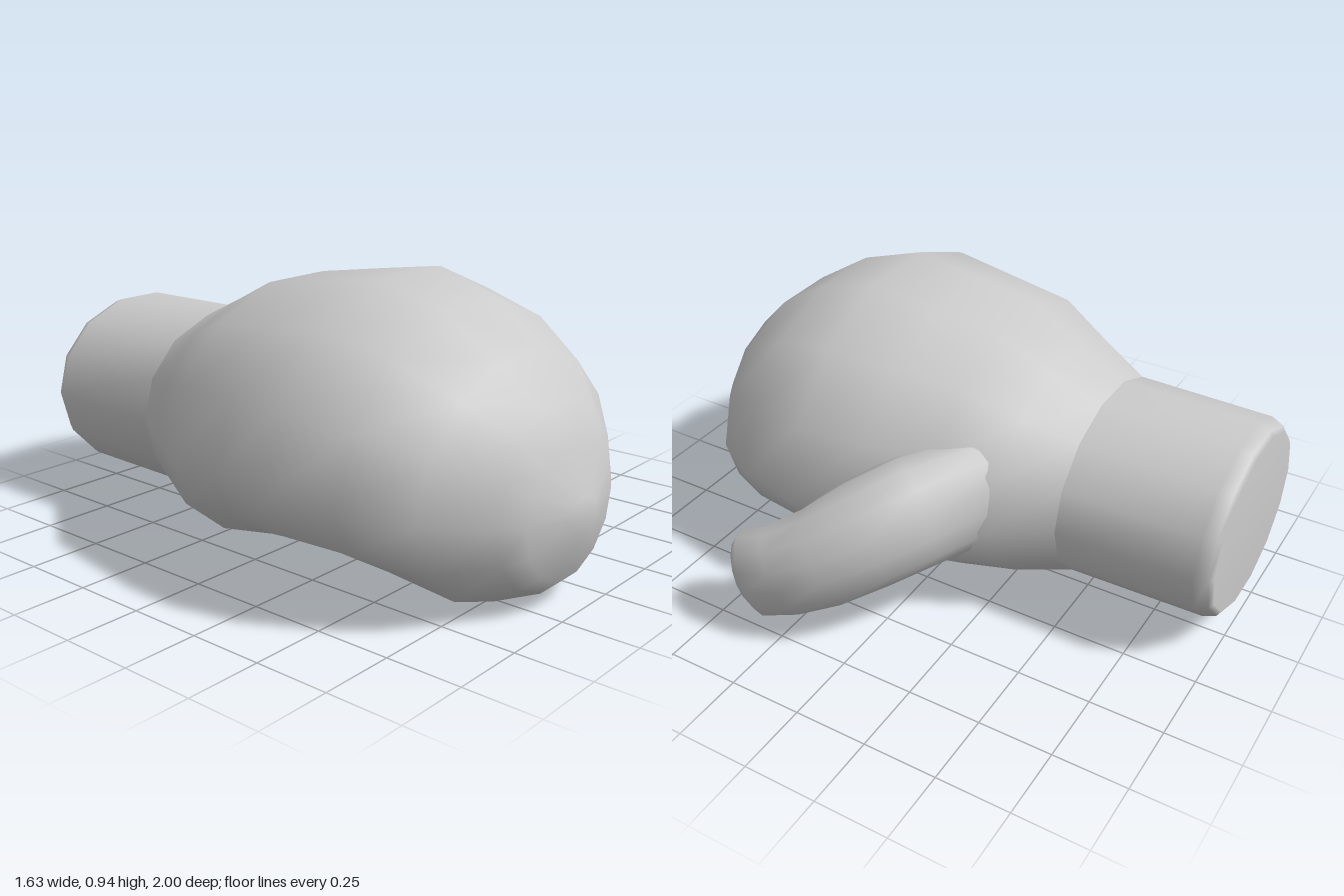
import * as THREE from 'three';

const SIDES = 14;
const material = new THREE.MeshStandardMaterial({ color: 0xcccccc });

// Skin a list of rings (ordered along the path), with optional closing centres
function loft(name, rings, startCentre, endCentre) {
  const n = SIDES, pos = [], index = [];
  rings.forEach(ring => ring.forEach(p => pos.push(p.x, p.y, p.z)));
  for (let j = 0; j < rings.length - 1; j++) {
    for (let i = 0; i < n; i++) {
      const a = j * n + i, b = j * n + (i + 1) % n;
      index.push(a, b, a + n, b, b + n, a + n);
    }
  }
  const cap = (centre, base, atEnd) => {
    const c = pos.length / 3;
    pos.push(centre.x, centre.y, centre.z);
    for (let i = 0; i < n; i++) {
      const a = base + i, b = base + (i + 1) % n;
      index.push(c, ...(atEnd ? [a, b] : [b, a]));
    }
  };
  if (startCentre) cap(startCentre, 0, false);
  if (endCentre) cap(endCentre, (rings.length - 1) * n, true);
  const geometry = new THREE.BufferGeometry();
  geometry.setAttribute('position', new THREE.Float32BufferAttribute(pos, 3));
  geometry.setIndex(index);
  geometry.computeVertexNormals();
  const mesh = new THREE.Mesh(geometry, material);
  mesh.name = name;
  return mesh;
}

// Upright oval at depth z, with its own widest height, top and bottom
function oval([z, left, right, mid, top, bottom]) {
  const flat = Math.sin(Math.PI * 3 / 7); // top and bottom edges are level
  return Array.from({ length: SIDES }, (_, i) => {
    const t = i / SIDES * Math.PI * 2, s = Math.sin(t);
    return new THREE.Vector3(
      (left + right) / 2 + (right - left) / 2 * Math.cos(t),
      mid + s / flat * (s > 0 ? top - mid : mid - bottom),
      z);
  });
}

// Oval at a point of a bent path, square to the given direction
function tiltedOval([x, y, z, w, h, dx, dy, dz]) {
  const dir = new THREE.Vector3(dx, dy, dz).normalize();
  const side = new THREE.Vector3(0, 1, 0).cross(dir).normalize();
  const up = dir.clone().cross(side);
  return Array.from({ length: SIDES }, (_, i) => {
    const t = i / SIDES * Math.PI * 2;
    return new THREE.Vector3(x, y, z)
      .addScaledVector(side, w * Math.cos(t))
      .addScaledVector(up, h * Math.sin(t));
  });
}

export function createModel() {
  const group = new THREE.Group();
  group.name = 'mitten';
  const wrist = [-0.48, -0.53, 0.245, 0.39, 0.705, 0.075];

  // Padded hand: z, left, right, widest height, top, bottom
  const hand = [
    wrist,
    [-0.3, -0.635, 0.36, 0.39, 0.79, 0.045],
    [-0.12, -0.74, 0.43, 0.39, 0.875, 0.018],
    [0.12, -0.78, 0.49, 0.39, 0.91, 0.08],
    [0.35, -0.82, 0.53, 0.38, 0.943, 0.12],
    [0.58, -0.765, 0.475, 0.38, 0.87, 0.08],
    [0.77, -0.655, 0.355, 0.36, 0.75, 0.008],
    [0.9, -0.46, 0.175, 0.33, 0.62, 0.055],
    [0.95, -0.38, 0.09, 0.32, 0.5, 0.1],
    [0.995, -0.22, -0.07, 0.31, 0.36, 0.24],
  ].map(oval);
  group.add(loft('hand', hand, null, new THREE.Vector3(-0.145, 0.31, 1)));

  // Cuff with a bevelled closed end
  const cuff = [
    [-1, -0.475, 0.2, 0.39, 0.67, 0.11],
    [-0.988, -0.495, 0.22, 0.39, 0.685, 0.093],
    [-0.945, -0.52, 0.24, 0.39, 0.7, 0.08],
    wrist,
  ].map(oval);
  group.add(loft('cuff', cuff, new THREE.Vector3(-0.14, 0.39, -1), null));

  // Thumb: centre, half width, half height, direction
  const thumb = [
    [0.18, 0.46, -0.24, 0.12, 0.2, 0.3, -0.02, 0.15],
    [0.42, 0.44, -0.08, 0.16, 0.2, 0.3, -0.1, 0.24],
    [0.54, 0.385, 0.03, 0.165, 0.19, 0.24, -0.13, 0.25],
    [0.63, 0.31, 0.14, 0.15, 0.175, 0.16, -0.15, 0.3],
    [0.685, 0.24, 0.26, 0.125, 0.165, 0.1, -0.12, 0.25],
    [0.71, 0.2, 0.37, 0.108, 0.165, 0.07, -0.06, 0.2],
    [0.717, 0.2, 0.41, 0.08, 0.12, 0.07, -0.05, 0.2],
  ].map(tiltedOval);
  group.add(loft('thumb', thumb, null, new THREE.Vector3(0.72, 0.2, 0.42)));

  return group;
}
